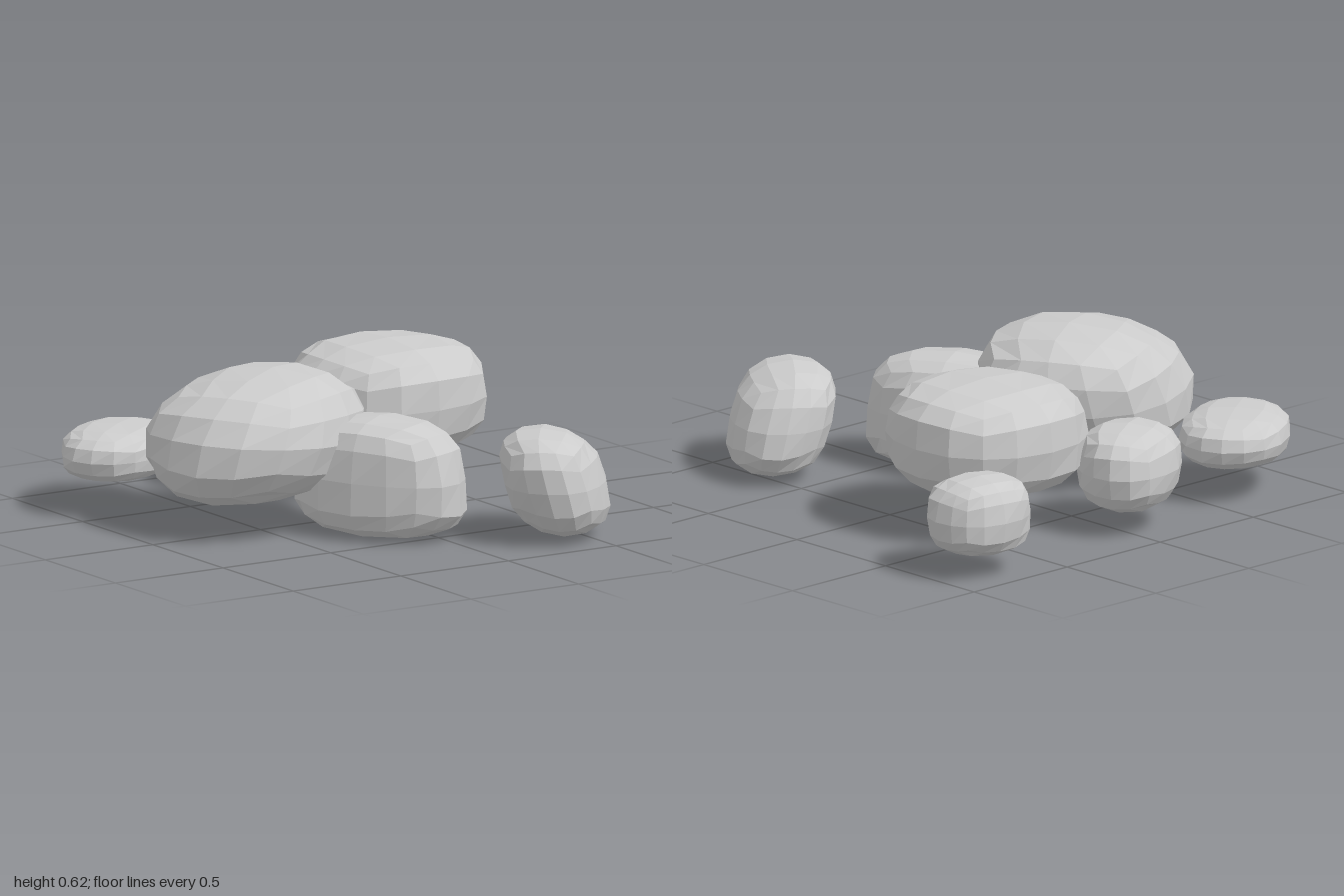
import * as THREE from 'three';

const material = new THREE.MeshStandardMaterial({ color: 0xcccccc, flatShading: true });

const bend = (v, p) => Math.sign(v) * Math.pow(Math.abs(v), p);
const warp = (v) => Math.tan(v * Math.PI / 4);

// A cube grid rounded into a squarish boulder with uneven, chipped sides.
// size: half length and half width; base and top: heights; square, plan: below 1 is boxier;
// lean: shift of the crown; tilt: slope of the widest line; flare: widening towards the base
function makeRock({ name, at, size, base, top, yaw, square, plan = 1, chip, seed, lean = [0, 0], tilt = 0, flare = 0 }) {
  const geometry = new THREE.BoxGeometry(2, 2, 2, 4, 4, 4);
  const pos = geometry.attributes.position;
  const half = (top - base) / 2;
  const d = new THREE.Vector3();
  for (let i = 0; i < pos.count; i++) {
    d.fromBufferAttribute(pos, i);
    d.set(warp(d.x), warp(d.y), warp(d.z)).normalize();
    const flat = Math.hypot(d.x, d.z);
    const noise = 0.5 + 0.5 * Math.sin(d.x * 3 + seed * 2.1 + d.y * 2) * Math.sin(d.z * 3.5 + seed * 1.3 - d.y * 3);
    const side = Math.pow(flat, square) * (1 + chip * (0.5 - noise)) * (1 - flare * d.y);
    const turn = Math.max(flat, 1e-6);
    const rise = bend(d.y, square) * (1 - chip * noise * flat);
    const x = size[0] * side * bend(d.x / turn, plan);
    const z = size[1] * side * bend(d.z / turn, plan);
    const slope = tilt * x * (1 - Math.abs(d.y));
    pos.setXYZ(i, x + lean[0] * rise, half * rise + slope, z + lean[1] * rise);
  }
  geometry.computeVertexNormals();
  const rock = new THREE.Mesh(geometry, material);
  rock.name = name;
  rock.position.set(at[0], (base + top) / 2, at[1]);
  rock.rotation.y = yaw;
  return rock;
}

export function createModel() {
  const group = new THREE.Group();
  group.name = 'rockCluster';
  const rocks = [
    // Two large boulders
    { name: 'largeRightBoulder', at: [-0.475, -0.08], size: [0.44, 0.42], base: 0.11, top: 0.62,
      yaw: 0.5, square: 0.83, chip: 0.07, seed: 2, lean: [0.08, 0.04], tilt: -0.08 },
    { name: 'largeLeftBoulder', at: [0.33, -0.365], size: [0.38, 0.375], base: 0.15, top: 0.6,
      yaw: 0, square: 0.68, plan: 0.88, chip: 0.05, seed: 5, tilt: 0.02 },
    // Elongated block in front of the boulders
    { name: 'longFrontRock', at: [-0.14, 0.3], size: [0.36, 0.22], base: 0, top: 0.47,
      yaw: -1.12, square: 0.62, plan: 0.9, chip: 0.07, seed: 3, flare: 0.1 },
    // Small scattered stones
    { name: 'frontStone', at: [0.39, 0.73], size: [0.28, 0.205], base: 0.01, top: 0.44,
      yaw: 0.9, square: 0.76, chip: 0.07, seed: 4, lean: [-0.04, -0.05] },
    { name: 'backRightStone', at: [-0.725, -0.665], size: [0.295, 0.215], base: 0.12, top: 0.33,
      yaw: 0.62, square: 0.72, plan: 0.95, chip: 0.06, seed: 6 },
    { name: 'backMiddleStone', at: [-0.065, -0.755], size: [0.245, 0.2], base: 0.08, top: 0.42,
      yaw: 0.5, square: 0.72, chip: 0.07, seed: 7 },
    { name: 'backLeftStone', at: [0.79, -0.81], size: [0.205, 0.175], base: 0.08, top: 0.39,
      yaw: -0.15, square: 0.68, plan: 0.85, chip: 0.07, seed: 8 },
  ];
  for (const rock of rocks) group.add(makeRock(rock));
  return group;
}
